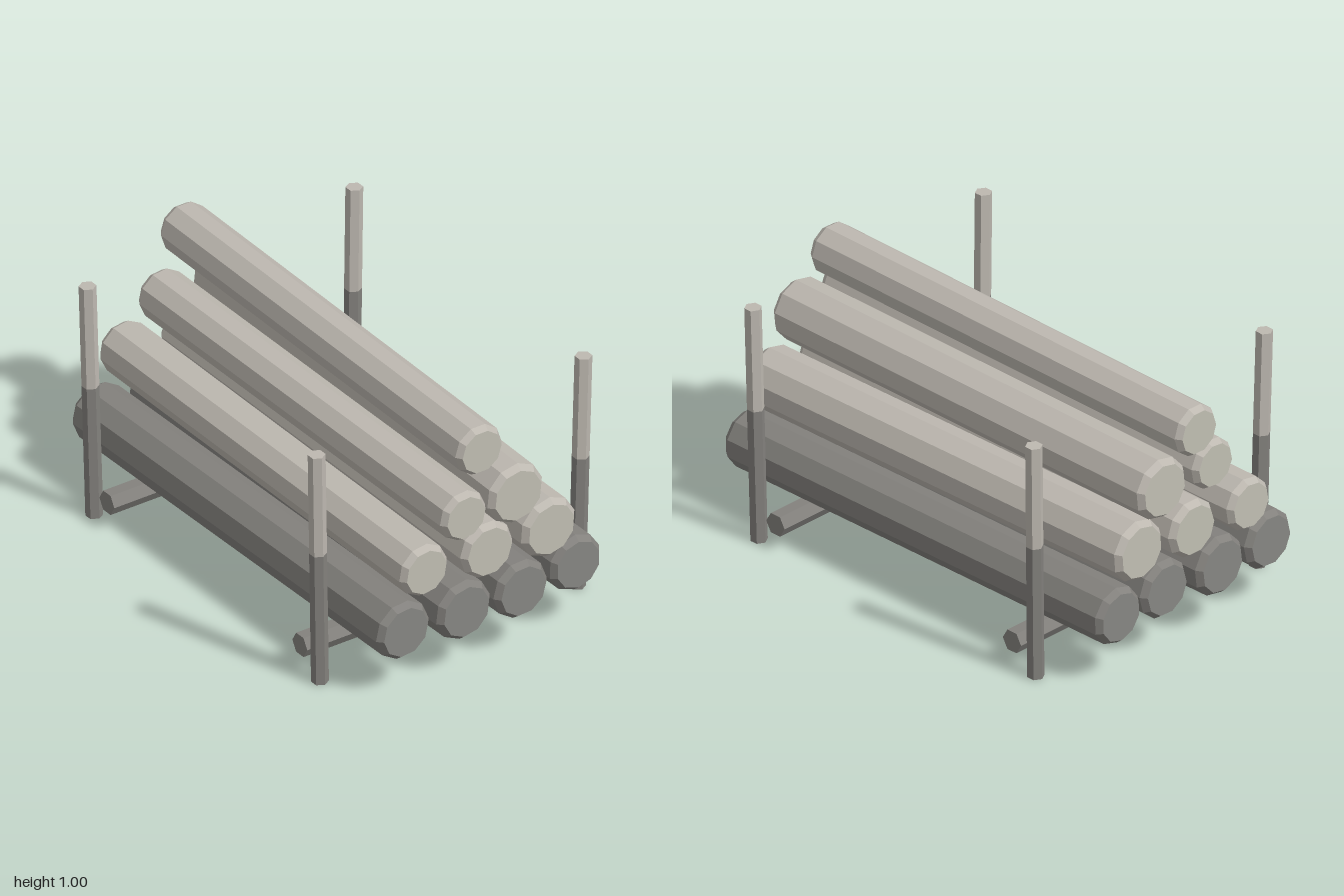
import * as THREE from 'three';

const UP = new THREE.Vector3(0, 1, 0);

// Faceted pole from point a to point b, with optional chamfered ends and cut faces
function pole(name, a, b, r, sides, phase, chamfer, sideMat, startMat, endMat) {
  const from = new THREE.Vector3(...a), to = new THREE.Vector3(...b);
  const axis = to.clone().sub(from), length = axis.length();
  const faceR = chamfer ? r * 0.84 : r;
  const profile = chamfer
    ? [[faceR, 0], [r, chamfer], [r, length - chamfer], [faceR, length]]
    : [[r, 0], [r, length]];
  const group = new THREE.Group();
  group.name = name;

  const add = (part, geometry, material) => {
    const mesh = new THREE.Mesh(geometry, material);
    mesh.name = part;
    group.add(mesh);
  };

  // Side surface with one flat normal per facet
  const side = new THREE.LatheGeometry(profile.map(p => new THREE.Vector2(...p)), sides, phase).toNonIndexed();
  side.computeVertexNormals();
  add('side', side, sideMat);

  // End faces
  if (startMat) {
    add('startFace', new THREE.CircleGeometry(faceR, sides, Math.PI / 2 - phase).rotateX(Math.PI / 2), startMat);
  }
  if (endMat) {
    add('endFace', new THREE.CircleGeometry(faceR, sides, phase - Math.PI / 2).rotateX(-Math.PI / 2).translate(0, length, 0), endMat);
  }

  group.position.copy(from);
  group.quaternion.setFromUnitVectors(UP, axis.normalize());
  return group;
}

function flat(name, color) {
  const material = new THREE.MeshStandardMaterial({ color });
  material.name = name;
  return material;
}

export function createModel() {
  const lightBark = flat('lightBark', 0xbdb8b0);
  const lightCut = flat('lightCut', 0xc0beb2);
  const darkBark = flat('darkBark', 0x83817d);
  const darkCut = flat('darkCut', 0x868682);

  const model = new THREE.Group();
  model.name = 'logRack';

  // Logs: row, radius, turn, then [x, y, z] of the two ends
  const logs = [
    [1, 0.119, 0.10, [-0.97, 0.272, 0.40], [0.97, 0.272, 0.38]],
    [1, 0.123, 0.20, [-0.98, 0.273, 0.138], [0.98, 0.271, 0.115]],
    [1, 0.120, 0.05, [-0.96, 0.274, -0.130], [0.99, 0.277, -0.134]],
    [1, 0.116, 0.30, [-0.98, 0.273, -0.39], [0.95, 0.273, -0.408]],
    [2, 0.107, 0.15, [-1.00, 0.487, 0.266], [0.94, 0.474, 0.266]],
    [2, 0.117, 0.00, [-0.98, 0.485, -0.005], [0.97, 0.485, 0.004]],
    [2, 0.124, 0.25, [-0.96, 0.487, -0.262], [0.96, 0.475, -0.280]],
    [3, 0.102, 0.10, [-0.95, 0.692, 0.131], [1.00, 0.690, 0.131]],
    [3, 0.124, 0.20, [-0.96, 0.700, -0.142], [0.98, 0.688, -0.117]],
    [4, 0.103, 0.00, [-1.00, 0.905, -0.004], [0.94, 0.903, 0.018]],
  ];
  for (const [row, r, phase, a, b] of logs) {
    const bark = row === 1 ? darkBark : lightBark;
    const cut = row === 1 ? darkCut : lightCut;
    model.add(pole('logRow' + row, a, b, r, 10, phase, 0.025, bark, cut, cut));
  }

  // Crossbars under the stack
  for (const x of [-0.62, 0.6]) {
    model.add(pole('crossbar', [x, 0.11, -0.595], [x, 0.11, 0.595], 0.047, 6, Math.PI / 2, 0, darkBark, darkBark, darkBark));
  }

  // Corner posts leaning slightly outward, dark below and light above
  for (const [x0, x1] of [[-0.725, -0.737], [0.702, 0.712]]) {
    for (const s of [-1, 1]) {
      const at = t => [x0 + (x1 - x0) * t, 0.985 * t, s * (0.577 + 0.022 * t)];
      model.add(pole('postLower', at(0), at(0.565), 0.033, 6, Math.PI / 2, 0, darkBark, darkBark, null));
      model.add(pole('postUpper', at(0.565), at(1), 0.033, 6, Math.PI / 2, 0, lightBark, null, lightBark));
    }
  }

  return model;
}
